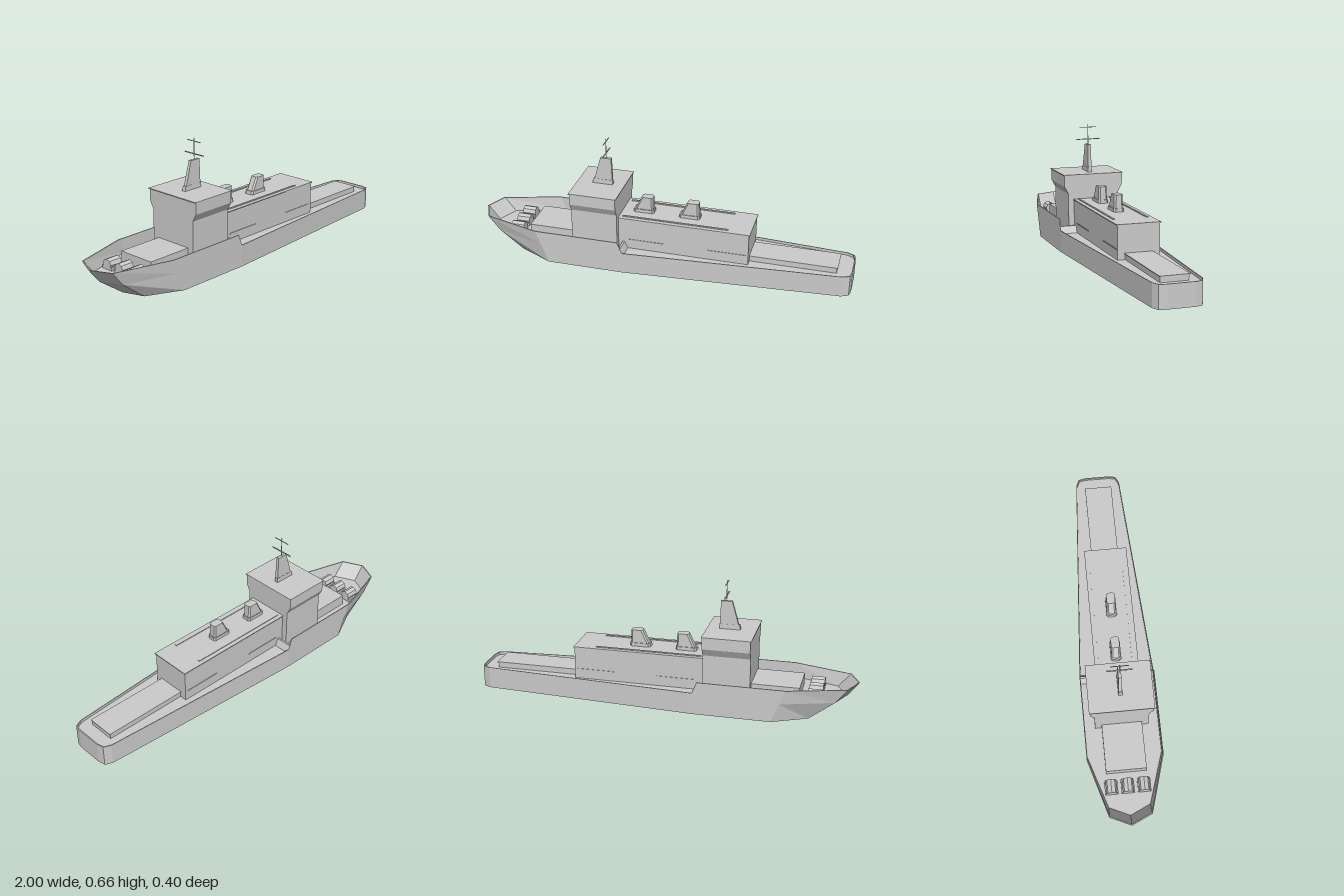
import * as THREE from 'three';

const material = new THREE.MeshStandardMaterial({ color: 0xcccccc, flatShading: true, side: THREE.DoubleSide });

// Skin a stack of closed rings of [x, y, z] points and cap both ends.
function loft(rings) {
  const n = rings[0].length, pos = [];
  const tri = (...pts) => pts.forEach((p) => pos.push(...p));
  for (let r = 0; r + 1 < rings.length; r++) {
    const lo = rings[r], up = rings[r + 1];
    for (let i = 0; i < n; i++) {
      const j = (i + 1) % n;
      tri(lo[i], up[i], up[j]);
      tri(lo[i], up[j], lo[j]);
    }
  }
  const bottom = rings[0], top = rings[rings.length - 1];
  for (let i = 1; i + 1 < n; i++) {
    tri(bottom[0], bottom[i], bottom[i + 1]);
    tri(top[0], top[i + 1], top[i]);
  }
  const g = new THREE.BufferGeometry();
  g.setAttribute('position', new THREE.Float32BufferAttribute(pos, 3));
  g.computeVertexNormals();
  return g;
}

// Rectangular ring at height y, optionally with cut corners.
function rect(y, x0, x1, z, c = 0) {
  if (!c) return [[x1, y, z], [x0, y, z], [x0, y, -z], [x1, y, -z]];
  return [[x1, y, z - c], [x1 - c, y, z], [x0 + c, y, z], [x0, y, z - c],
    [x0, y, c - z], [x0 + c, y, -z], [x1 - c, y, -z], [x1, y, c - z]];
}

export function createModel() {
  const ship = new THREE.Group();
  ship.name = 'ship';
  const add = (name, geometry, parent = ship) => {
    const mesh = new THREE.Mesh(geometry, material);
    mesh.name = name;
    parent.add(mesh);
    return mesh;
  };
  const box = (name, x0, x1, y0, y1, z0, z1, parent) => {
    const mesh = add(name, new THREE.BoxGeometry(x1 - x0, y1 - y0, z1 - z0), parent);
    mesh.position.set((x0 + x1) / 2, (y0 + y1) / 2, (z0 + z1) / 2);
    return mesh;
  };

  // Hull: half outline from stern to stem as [x at keel, x at deck, x at rim, z, rim y]
  const deckY = 0.1;
  const half = [
    [1, 1, 1, 0.07, 0.115], [0.992, 0.992, 0.992, 0.105, 0.115], [0.955, 0.955, 0.955, 0.122, 0.115],
    [-0.175, -0.175, -0.175, 0.198, 0.115], [-0.2, -0.2, -0.2, 0.198, 0.175],
    [-0.58, -0.62, -0.65, 0.198, 0.175], [-0.76, -0.89, -0.95, 0.11, 0.175], [-0.8, -0.94, -1, 0, 0.175],
  ];
  const outline = [...half, ...half.slice(0, -1).reverse().map((p) => [p[0], p[1], p[2], -p[3], p[4]])];
  const ring = (k, y, s = 1) => outline.map((p) => [p[k] * (s < 1 ? 0.994 : 1), y ?? p[4], p[3] * s]);
  add('hull', loft([ring(0, 0), ring(1, deckY), ring(2), ring(2, undefined, 0.975), ring(1, deckY, 0.975)]));

  // Sloped ridge across the deck where the bulwark drops
  add('breakwater', loft([rect(deckY, -0.215, -0.168, 0.193), rect(0.137, -0.195, -0.185, 0.193)]));

  // Foredeck equipment
  box('foredeckHouse', -0.71, -0.46, deckY, 0.158, -0.105, 0.105);
  for (const z of [-0.085, 0, 0.085]) {
    const winch = new THREE.Group();
    winch.name = 'winch';
    const drum = add('winchDrum', new THREE.CylinderGeometry(0.028, 0.028, 0.07, 8), winch);
    drum.rotation.z = Math.PI / 2;
    drum.position.set(-0.785, deckY + 0.026, z);
    box('winchBase', -0.82, -0.75, deckY, deckY + 0.015, z - 0.034, z + 0.034, winch);
    ship.add(winch);
  }

  // Bridge tower, wider above the flare
  add('bridge', loft([
    rect(deckY, -0.463, -0.217, 0.14), rect(0.303, -0.463, -0.217, 0.14),
    rect(0.343, -0.463, -0.217, 0.162), rect(0.402, -0.463, -0.217, 0.162),
  ]));
  box('bridgeRoof', -0.468, -0.213, 0.402, 0.407, -0.166, 0.166);

  // Mast with pole and crossbars
  add('mastBase', loft([rect(0.405, -0.386, -0.276, 0.011), rect(0.432, -0.38, -0.276, 0.01)]));
  add('mast', loft([rect(0.43, -0.375, -0.278, 0.009), rect(0.555, -0.34, -0.282, 0.008)]));
  box('pole', -0.3115, -0.3085, 0.55, 0.664, -0.0015, 0.0015);
  box('lowerCrossbar', -0.313, -0.307, 0.581, 0.585, -0.064, 0.064);
  box('upperCrossbar', -0.312, -0.308, 0.646, 0.649, -0.046, 0.046);

  // Long deckhouse and low aft hatch
  box('deckhouse', -0.22, 0.472, deckY, 0.27, -0.109, 0.109);
  box('deckhouseRoof', -0.22, 0.477, 0.27, 0.275, -0.114, 0.114);
  box('aftHatch', 0.47, 0.92, deckY, 0.128, -0.07, 0.07);
  box('aftHatchCover', 0.47, 0.925, 0.128, 0.132, -0.074, 0.074);
  for (const s of [-1, 1]) {
    box('roofRail', -0.2, 0.36, 0.275, 0.279, s * 0.087 - 0.005, s * 0.087 + 0.005);
    for (const x of [-0.17, 0.26]) {
      box('sideRail', x, x + 0.2, 0.149, 0.154, s * 0.11 - 0.002, s * 0.11 + 0.002);
    }
  }

  // Two funnels leaning aft on low plinths
  for (const x of [-0.105, 0.14]) {
    const funnel = new THREE.Group();
    funnel.name = 'funnel';
    add('funnelBase', loft([rect(0.274, -0.055, 0.055, 0.027, 0.009), rect(0.293, -0.052, 0.055, 0.027, 0.009)]), funnel);
    add('funnelBody', loft([rect(0.292, -0.045, 0.05, 0.023, 0.008), rect(0.362, -0.012, 0.048, 0.022, 0.008)]), funnel);
    funnel.position.x = x;
    ship.add(funnel);
  }
  return ship;
}
